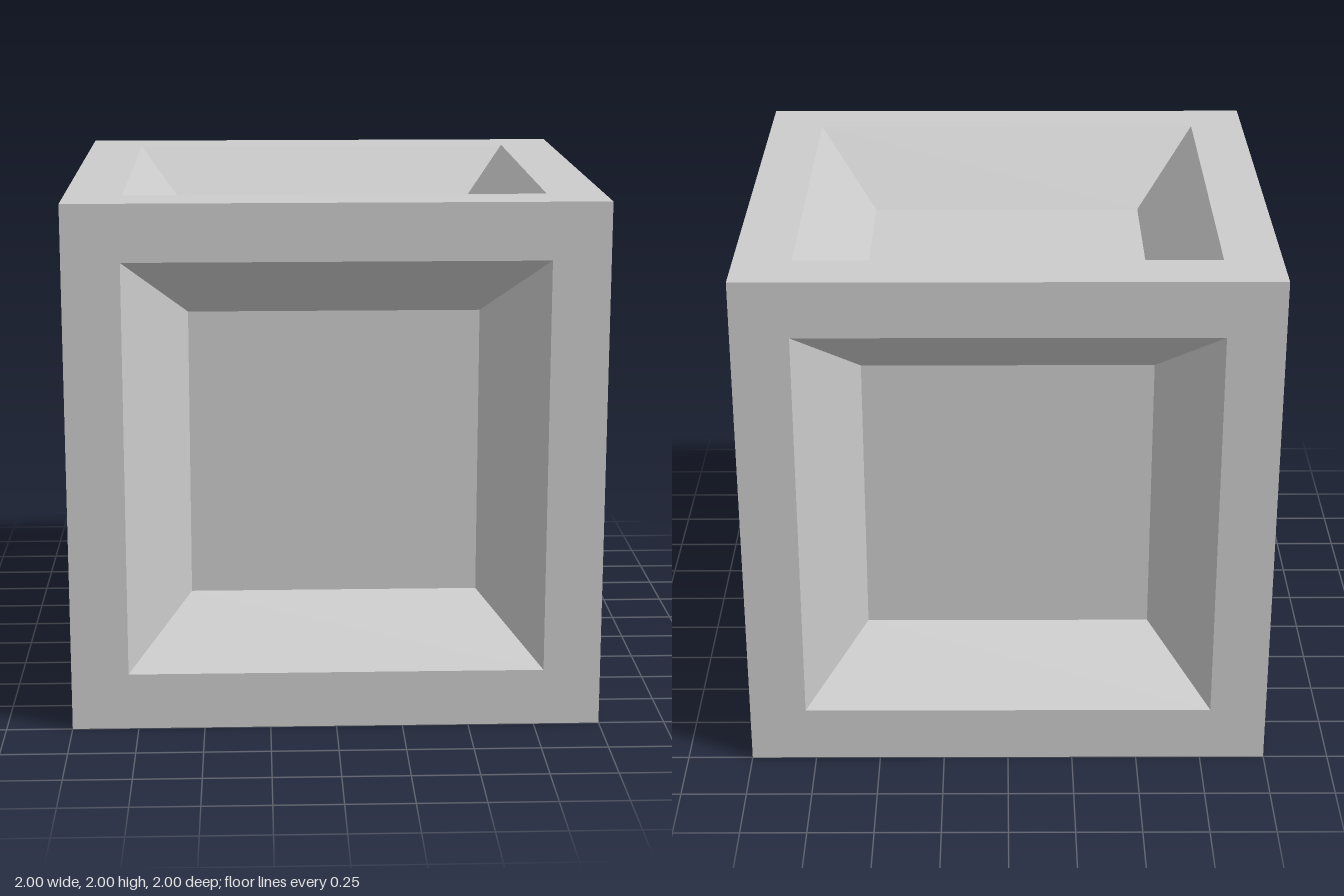
import * as THREE from 'three';

const HALF = 1;        // half of the cube's side
const OPENING = 0.785; // half width of the recess at the surface
const FLOOR = 0.55;    // half width of the recess floor
const LEVEL = 0.71;    // distance of the floor from the cube's centre

// Square ring through [half width, height] pairs, running from outside to inside
function squareRing(profile) {
  const points = profile.map(([half, height]) => new THREE.Vector2(half * Math.SQRT2, height));
  const ring = new THREE.LatheGeometry(points, 4, Math.PI / 4).toNonIndexed();
  ring.computeVertexNormals();
  return ring;
}

export function createModel() {
  const model = new THREE.Group();
  model.name = 'recessedCube';
  const material = new THREE.MeshStandardMaterial({ color: 0xcccccc, flatShading: true });

  const frameGeometry = squareRing([[HALF, HALF], [OPENING, HALF]]);
  const wallGeometry = squareRing([[OPENING, HALF], [FLOOR, LEVEL]]);
  const floorGeometry = new THREE.PlaneGeometry(FLOOR * 2, FLOOR * 2)
    .rotateX(-Math.PI / 2)
    .translate(0, LEVEL, 0);

  // Each side is the top side turned to face its direction
  const q = Math.PI / 2;
  const sides = {
    top: [0, 0, 0],
    bottom: [Math.PI, 0, 0],
    front: [q, 0, 0],
    back: [-q, 0, 0],
    left: [0, 0, -q],
    right: [0, 0, q],
  };

  for (const [name, turn] of Object.entries(sides)) {
    const side = new THREE.Group();
    side.name = name + 'Side';
    side.rotation.set(...turn);
    side.position.y = HALF;

    const parts = { Frame: frameGeometry, RecessWalls: wallGeometry, RecessFloor: floorGeometry };
    for (const [part, geometry] of Object.entries(parts)) {
      const mesh = new THREE.Mesh(geometry, material);
      mesh.name = name + part;
      side.add(mesh);
    }
    model.add(side);
  }
  return model;
}
